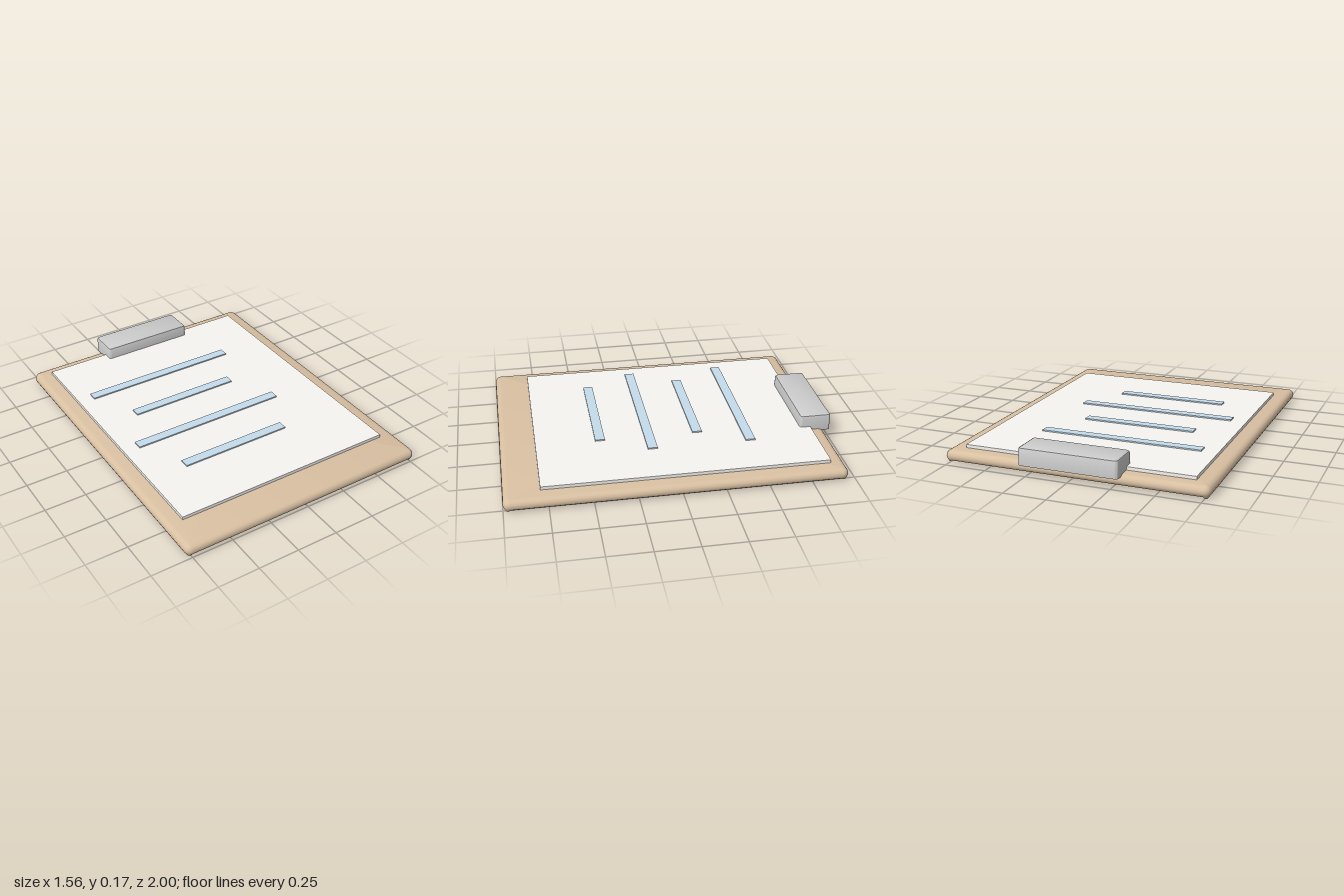
import * as THREE from 'three';
import { toCreasedNormals } from 'three/addons/utils/BufferGeometryUtils.js';

const material = (color) => new THREE.MeshStandardMaterial({ color, side: THREE.DoubleSide });

// Open-bottomed tray: rounded-rectangle loops stacked along a profile of [inset, y], capped on top
function shellGeometry(halfX, halfZ, radius, profile, cornerDip = 0) {
  const steps = 6, ring = 4 * (steps + 1);
  const position = [], index = [];
  profile.forEach(([inset, y], level) => {
    const r = Math.max(radius - inset, 0.004);
    for (let c = 0; c < 4; c++) {
      const sx = c === 0 || c === 3 ? 1 : -1, sz = c < 2 ? 1 : -1;
      for (let s = 0; s <= steps; s++) {
        const a = (c + s / steps) * Math.PI / 2;
        const dip = level === 0 ? cornerDip * Math.sin(Math.PI * s / steps) : 0;
        position.push(sx * (halfX - inset - r) + r * Math.cos(a), y - dip,
          sz * (halfZ - inset - r) + r * Math.sin(a));
      }
    }
  });
  for (let l = 0; l < profile.length - 1; l++) {
    for (let i = 0; i < ring; i++) {
      const a = l * ring + i, b = l * ring + (i + 1) % ring;
      index.push(a, a + ring, b, b, a + ring, b + ring);
    }
  }
  const top = (profile.length - 1) * ring, centre = profile.length * ring;
  position.push(0, profile[profile.length - 1][1], 0);
  for (let i = 0; i < ring; i++) index.push(centre, top + (i + 1) % ring, top + i);
  const geometry = new THREE.BufferGeometry();
  geometry.setAttribute('position', new THREE.Float32BufferAttribute(position, 3));
  geometry.setIndex(index);
  return toCreasedNormals(geometry, 0.6);
}

export function createModel() {
  const model = new THREE.Group();
  model.name = 'clipboard';
  const add = (name, geometry, mat, x, y, z) => {
    const mesh = new THREE.Mesh(geometry, mat);
    mesh.name = name;
    mesh.position.set(x, y, z);
    model.add(mesh);
  };
  const box = (name, mat, x0, x1, y0, y1, z0, z1) =>
    add(name, new THREE.BoxGeometry(x1 - x0, y1 - y0, z1 - z0), mat,
      (x0 + x1) / 2, (y0 + y1) / 2, (z0 + z1) / 2);

  // Board: hollow underneath, with a rounded rim curling in at the bottom
  const boardProfile = [[0.014, 0.01], [0.004, 0.02], [0, 0.033], [0.003, 0.048],
    [0.011, 0.06], [0.023, 0.067], [0.037, 0.07]];
  add('board', shellGeometry(0.782, 0.98, 0.04, boardProfile, 0.01), material(0xd9c0a2), 0, 0, 0.02);

  // Paper sheet
  box('paper', material(0xf8f6f2), -0.685, 0.685, 0.0705, 0.09, -0.875, 0.79);

  // Written lines, alternating long and short
  const ink = material(0xc6dded);
  for (let i = 0; i < 4; i++) {
    const z = -0.475 + i * 0.294;
    const [x0, x1] = i % 2 ? [-0.445, 0.245] : [-0.59, 0.39];
    box('textLine' + (i + 1), ink, x0, x1, 0.089, 0.098, z - 0.029, z + 0.029);
  }

  // Clip: open-bottomed cover over the back edge
  const clipProfile = [[0, 0.06], [0, 0.15], [0.004, 0.16], [0.015, 0.166]];
  add('clip', shellGeometry(0.292, 0.095, 0.016, clipProfile), material(0xcccccc), 0, 0, -0.905);
  return model;
}
